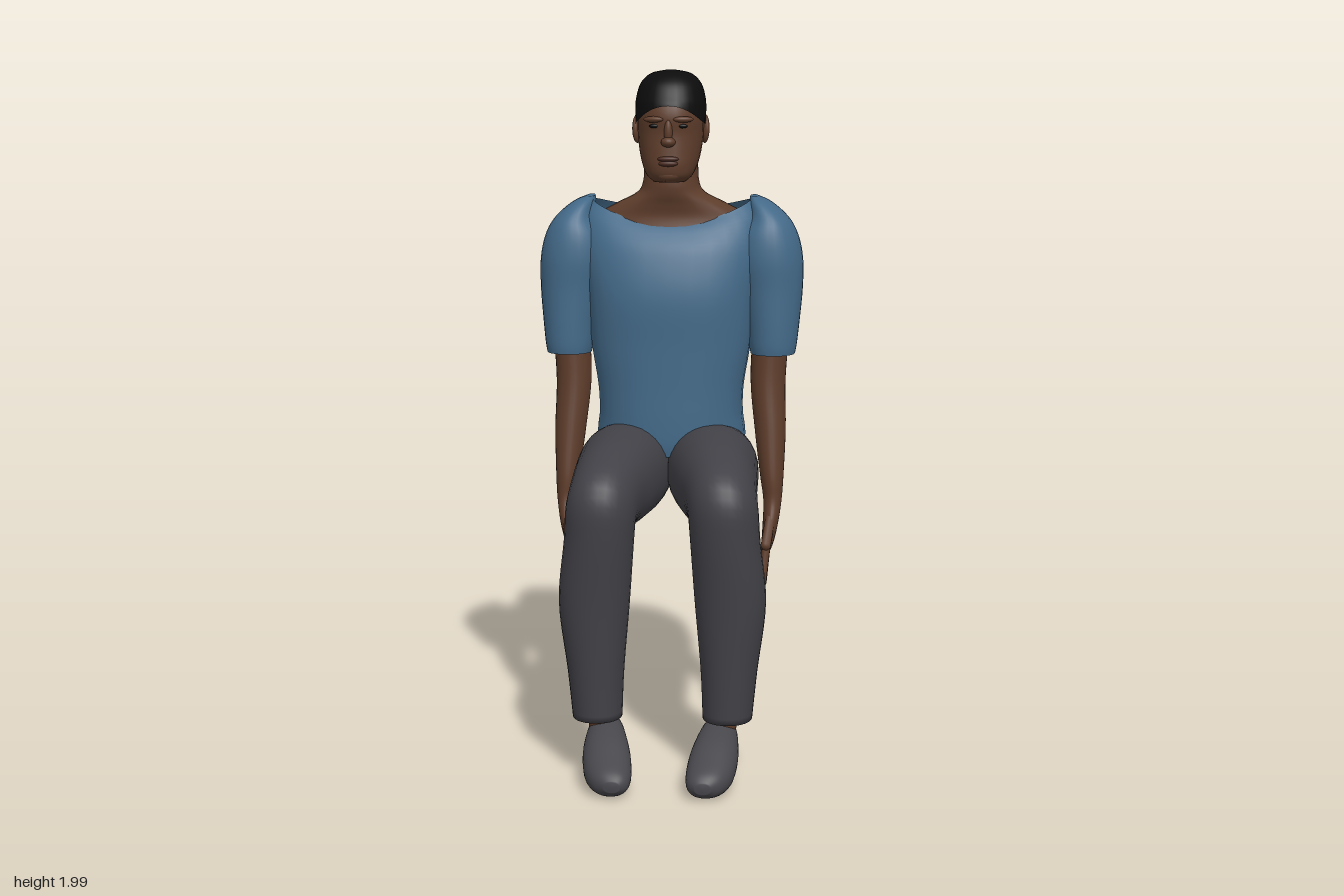
import * as THREE from 'three';

const mat = (name, color, side = THREE.FrontSide) => {
  const m = new THREE.MeshStandardMaterial({ color, side });
  m.name = name;
  return m;
};
const SEG = 32, STEPS = 5;

// Smooth blend between neighbouring cross-section values
const blend = (a, b, c, d, t) =>
  0.5 * (2 * b + (c - a) * t + (2 * a - 5 * b + 4 * c - d) * t * t + (3 * b - a - 3 * c + d) * t * t * t);

// Skin over cross-sections [x, y, z, halfWidth, halfDepth, tiltDegrees, frontSag, backSag],
// listed from top to bottom (or back to front when tilted 90 degrees)
function loft(sections, { power = 2, capStart = true, capEnd = true } = {}) {
  const full = sections.map(s => Array.from({ length: 8 }, (_, k) => s[k] ?? 0));
  const rings = [];
  const last = full.length - 1;
  for (let i = 0; i < last; i++) {
    for (let k = 0; k < STEPS; k++) {
      const at = j => full[Math.min(Math.max(j, 0), last)];
      rings.push(full[i].map((_, c) => blend(at(i - 1)[c], at(i)[c], at(i + 1)[c], at(i + 2)[c], k / STEPS)));
    }
  }
  rings.push(full[last]);
  const pos = [], idx = [];
  const soft = v => Math.sign(v) * Math.abs(v) ** (2 / power);
  for (const [x, y, z, a, b, tilt, sagF, sagB] of rings) {
    const t = THREE.MathUtils.degToRad(tilt);
    for (let j = 0; j < SEG; j++) {
      const w = (j / SEG) * Math.PI * 2;
      const u = soft(Math.cos(w)) * a, s = Math.sin(w), v = soft(s) * b;
      pos.push(x + u, y + v * Math.sin(t) - (s > 0 ? sagF : sagB) * s * s, z + v * Math.cos(t));
    }
  }
  for (let i = 0; i < rings.length - 1; i++) {
    for (let j = 0; j < SEG; j++) {
      const p = i * SEG + j, q = i * SEG + (j + 1) % SEG;
      idx.push(p, q, p + SEG, q, q + SEG, p + SEG);
    }
  }
  const cap = (ring, flip) => {
    const c = pos.length / 3, r = rings[ring];
    pos.push(r[0], r[1], r[2]);
    for (let j = 0; j < SEG; j++) {
      const p = ring * SEG + j, q = ring * SEG + (j + 1) % SEG;
      idx.push(c, flip ? q : p, flip ? p : q);
    }
  };
  if (capStart) cap(0, true);
  if (capEnd) cap(rings.length - 1, false);
  const g = new THREE.BufferGeometry();
  g.setAttribute('position', new THREE.Float32BufferAttribute(pos, 3));
  g.setIndex(idx);
  g.computeVertexNormals();
  return g;
}

// Level section from its front and back z: [y, front, back, halfWidth, frontSag, backSag]
const level = ([y, f, b, a, sf = 0, sb = 0]) => [0, y, (f + b) / 2, a, (f - b) / 2, 0, sf, sb];

export function createModel() {
  const root = new THREE.Group();
  root.name = 'seatedMan';
  const skin = mat('skin', 0x5e3d2b), lip = mat('lips', 0x4c2d23);
  const shirt = mat('shirt blue', 0x446a89, THREE.DoubleSide);
  const trouser = mat('trouser grey', 0x424147), shoe = mat('shoe grey', 0x47474c);
  const hair = mat('hair black', 0x0c0c0c, THREE.DoubleSide);

  const add = (name, geometry, material) => {
    const m = new THREE.Mesh(geometry, material);
    m.name = name;
    root.add(m);
    return m;
  };
  const blob = (name, material, p, s) => {
    const m = add(name, new THREE.SphereGeometry(1, 20, 14), material);
    m.position.set(...p);
    m.scale.set(...s);
    return m;
  };
  // Round-ended finger between two points
  const finger = (name, from, to, r) => {
    const a = new THREE.Vector3(...from), b = new THREE.Vector3(...to), d = b.clone().sub(a);
    const m = add(name, new THREE.CapsuleGeometry(r, d.length() - r, 5, 10), skin);
    m.position.copy(a).add(b).multiplyScalar(0.5);
    m.quaternion.setFromUnitVectors(new THREE.Vector3(0, 1, 0), d.normalize());
  };

  // Shirt body with scooped neckline and dipped hem
  add('shirtBody', loft([
    [1.622, -0.155, -0.385, 0.235, 0.06, 0.035],
    [1.575, -0.122, -0.408, 0.262, 0.045, 0.025],
    [1.48, -0.085, -0.424, 0.27, 0.01],
    [1.35, -0.055, -0.42, 0.25],
    [1.2, -0.058, -0.397, 0.236],
    [1.08, -0.06, -0.388, 0.217],
    [1.0, -0.06, -0.41, 0.214, 0.01, 0.04],
    [0.95, -0.062, -0.432, 0.22, 0.03, 0.09],
    [0.92, -0.068, -0.437, 0.222, 0.04, 0.12],
  ].map(level), { power: 2.4, capStart: false, capEnd: false }), shirt);

  // Neck spreading into the upper chest
  add('neckAndChest', loft([
    [1.8, -0.32, -0.16, 0.07].map((v, i, a) => (i === 1 ? a[2] : i === 2 ? a[1] : v)),
    [1.74, -0.135, -0.328, 0.078],
    [1.68, -0.125, -0.325, 0.082],
    [1.645, -0.128, -0.33, 0.1],
    [1.61, -0.14, -0.355, 0.165],
    [1.57, -0.145, -0.385, 0.225],
    [1.5, -0.125, -0.4, 0.235],
  ].map(level), { power: 2.2 }), skin);

  // Head
  add('head', loft([
    [1.985, -0.19, -0.25, 0.02],
    [1.965, -0.13, -0.3, 0.066],
    [1.92, -0.09, -0.33, 0.09],
    [1.87, -0.072, -0.335, 0.096],
    [1.82, -0.075, -0.332, 0.096],
    [1.77, -0.07, -0.315, 0.09],
    [1.73, -0.066, -0.28, 0.08],
    [1.7, -0.072, -0.23, 0.066],
    [1.682, -0.09, -0.19, 0.045],
  ].map(level), { power: 2.2 }), skin);

  // Close-cropped hair, high at the forehead and low at the nape
  add('hair', loft([
    [2.0, -0.205, -0.235, 0.012],
    [1.99, -0.15, -0.288, 0.058],
    [1.962, -0.106, -0.325, 0.088],
    [1.92, -0.078, -0.343, 0.101],
    [1.885, -0.069, -0.345, 0.103, -0.02, 0.03],
    [1.845, -0.065, -0.341, 0.102, -0.055, 0.065],
  ].map(level), { power: 2.2, capEnd: false }), hair);

  // Nose and mouth
  blob('noseBridge', skin, [0, 1.825, -0.074], [0.012, 0.036, 0.014]);
  blob('noseTip', skin, [0, 1.798, -0.07], [0.021, 0.015, 0.021]);
  blob('upperLip', lip, [0, 1.75, -0.07], [0.031, 0.008, 0.012]);
  blob('lowerLip', lip, [0, 1.737, -0.07], [0.028, 0.009, 0.012]);
  blob('chin', skin, [0, 1.703, -0.088], [0.035, 0.018, 0.018]);

  for (const [side, s] of [['left', 1], ['right', -1]]) {
    const flip = list => list.map(([x, ...rest]) => [x * s, ...rest]);

    // Eye, brow and ear
    blob(side + 'Eye', hair, [0.04 * s, 1.843, -0.083], [0.015, 0.006, 0.006]);
    blob(side + 'Brow', skin, [0.043 * s, 1.862, -0.081], [0.03, 0.009, 0.012]).rotation.y = 0.25 * s;
    const ear = blob(side + 'Ear', skin, [0.099 * s, 1.83, -0.218], [0.012, 0.042, 0.027]);
    ear.rotation.set(-0.15, 0.3 * s, 0);

    // Rounded shoulder and short sleeve
    add(side + 'Sleeve', loft(flip([
      [0.243, 1.63, -0.3, 0.012, 0.05],
      [0.262, 1.612, -0.285, 0.034, 0.08],
      [0.285, 1.57, -0.27, 0.06, 0.105],
      [0.285, 1.52, -0.262, 0.089, 0.12],
      [0.288, 1.45, -0.257, 0.101, 0.125],
      [0.296, 1.36, -0.252, 0.093, 0.117],
      [0.301, 1.26, -0.235, 0.079, 0.1],
      [0.302, 1.2, -0.222, 0.071, 0.086],
      [0.302, 1.172, -0.219, 0.066, 0.08],
    ]), { power: 2.2, capEnd: false }), shirt);

    // Bare arm down to the palm
    add(side + 'Arm', loft(flip([
      [0.3, 1.27, -0.225, 0.055, 0.068],
      [0.289, 1.1, -0.212, 0.052, 0.068],
      [0.297, 0.95, -0.182, 0.046, 0.064],
      [0.303, 0.82, -0.15, 0.035, 0.055],
      [0.306, 0.745, -0.133, 0.027, 0.043],
      [0.301, 0.68, -0.124, 0.023, 0.06],
      [0.293, 0.62, -0.13, 0.018, 0.062],
      [0.288, 0.59, -0.133, 0.011, 0.053],
    ])), skin);

    // Spread fingers and thumb
    [[-0.087, -0.063, 0.51], [-0.118, -0.117, 0.49], [-0.147, -0.165, 0.505], [-0.173, -0.204, 0.545]]
      .forEach(([z0, z1, y], i) =>
        finger(side + 'Finger' + (i + 1), [0.291 * s, 0.625, z0], [0.278 * s, y, z1], 0.0125));
    finger(side + 'Thumb', [0.302 * s, 0.705, -0.092], [0.288 * s, 0.622, -0.033], 0.015);

    // Trouser leg: hip, thigh, bent knee and shin
    add(side + 'TrouserLeg', loft(flip([
      [0.115, 0.8, -0.425, 0.065, 0.05, 90],
      [0.12, 0.81, -0.385, 0.11, 0.09, 90],
      [0.122, 0.82, -0.28, 0.128, 0.125, 90],
      [0.13, 0.835, -0.1, 0.135, 0.14, 90],
      [0.145, 0.83, 0.05, 0.12, 0.133, 88],
      [0.16, 0.815, 0.145, 0.106, 0.123, 76],
      [0.172, 0.775, 0.213, 0.1, 0.128, 45],
      [0.178, 0.7, 0.213, 0.099, 0.112, 10],
      [0.193, 0.52, 0.203, 0.101, 0.102],
      [0.19, 0.32, 0.197, 0.081, 0.094],
      [0.186, 0.18, 0.197, 0.071, 0.087],
    ]), { power: 2.15 }), trouser);

    // Bare ankle
    add(side + 'Ankle', loft(flip([
      [0.18, 0.22, 0.188, 0.042, 0.045], [0.168, 0.12, 0.195, 0.04, 0.042],
    ])), skin);

    // Slip-on shoe pointing toe down
    add(side + 'Shoe', loft(flip([
      [0.165, 0.15, 0.138, 0.025, 0.012, 90],
      [0.163, 0.127, 0.165, 0.046, 0.043, 90],
      [0.16, 0.113, 0.22, 0.058, 0.055, 90],
      [0.152, 0.088, 0.3, 0.068, 0.059, 90],
      [0.142, 0.062, 0.375, 0.066, 0.051, 90],
      [0.132, 0.052, 0.425, 0.05, 0.036, 90],
      [0.126, 0.05, 0.449, 0.022, 0.015, 90],
    ]), { power: 2.2 }), shoe);
  }
  return root;
}
